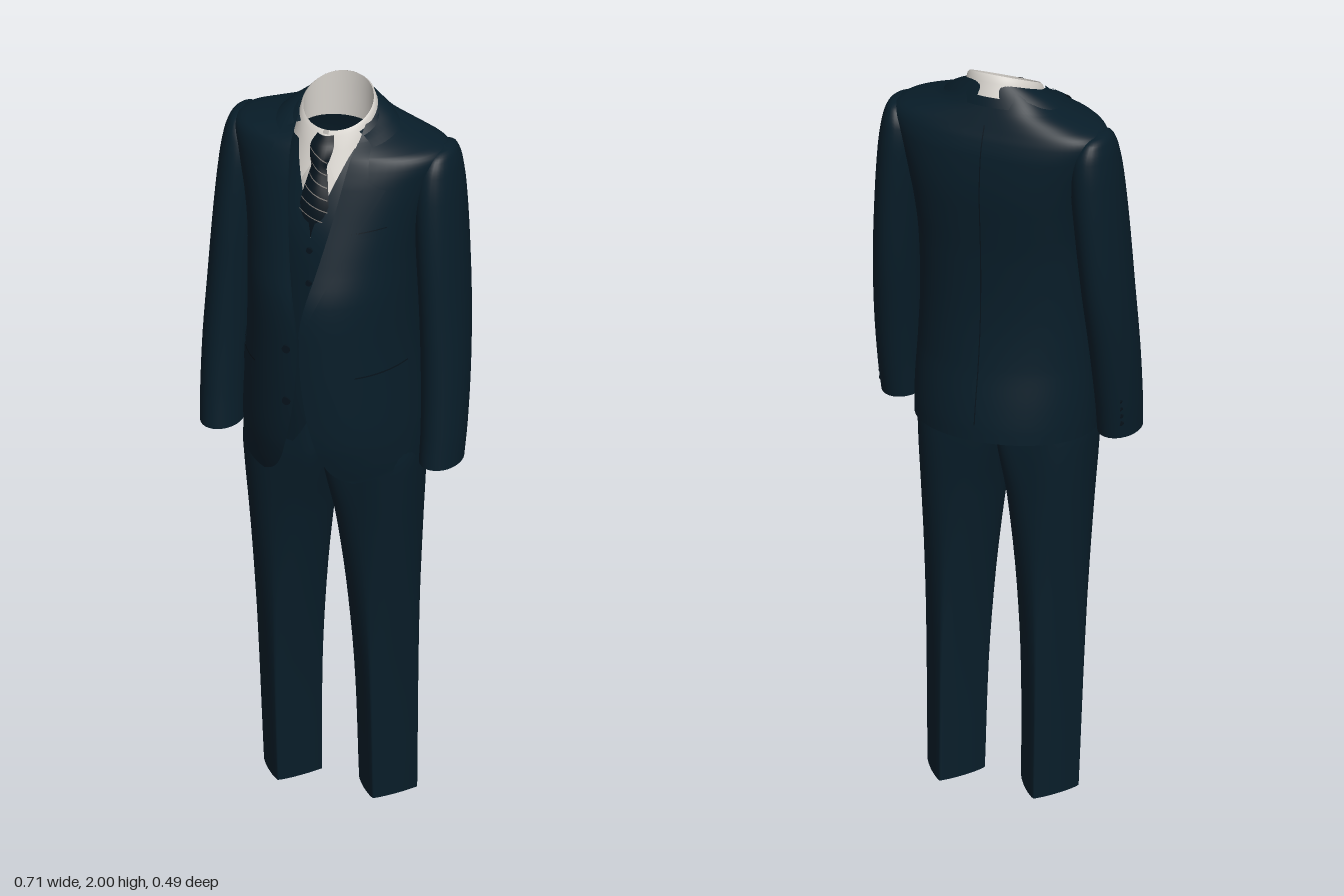
import * as THREE from 'three';

const mat = (name, color) => new THREE.MeshStandardMaterial({ name, color, side: THREE.DoubleSide });
const navy = mat('navy wool', 0x081d29);
const dark = mat('dark trim', 0x06131c);
const white = mat('shirt white', 0xd4d0ca);
const stripe = mat('tie stripe', 0x77726e);

const V = (x, y, z) => new THREE.Vector3(x, y, z);
const { lerp, clamp } = THREE.MathUtils;

// Smooth interpolation of table rows [y, a, b, ...]
function sample(table, y) {
  const n = table.length - 1;
  let i = 0;
  while (i < n - 1 && y > table[i + 1][0]) i++;
  const p = table[i], q = table[i + 1], o = table[Math.max(i - 1, 0)], r = table[Math.min(i + 2, n)];
  const h = q[0] - p[0], t = clamp((y - p[0]) / h, 0, 1);
  return p.slice(1).map((v, k) => {
    const c = k + 1;
    const m0 = (q[c] - o[c]) / (q[0] - o[0]) * h, m1 = (r[c] - p[c]) / (r[0] - p[0]) * h;
    return v + t * m0 + t * t * (3 * (q[c] - v) - 2 * m0 - m1) + t * t * t * (2 * (v - q[c]) + m0 + m1);
  });
}

// Heights of a table with extra steps between its rows
function heights(table, steps = 4) {
  const ys = [];
  table.forEach((r, i) => {
    if (i) for (let k = 1; k <= steps; k++) ys.push(lerp(table[i - 1][0], r[0], k / steps));
    else ys.push(r[0]);
  });
  return ys;
}

// Surface through rows of points
function loft(name, rows, material, closed = false) {
  const w = rows[0].length, pos = [], idx = [];
  rows.forEach(r => r.forEach(p => pos.push(p.x, p.y, p.z)));
  for (let i = 0; i < rows.length - 1; i++) {
    for (let j = 0; j < (closed ? w : w - 1); j++) {
      const a = i * w + j, b = i * w + (j + 1) % w;
      idx.push(a, b, a + w, b, b + w, a + w);
    }
  }
  const g = new THREE.BufferGeometry();
  g.setAttribute('position', new THREE.Float32BufferAttribute(pos, 3));
  g.setIndex(idx);
  g.computeVertexNormals();
  const m = new THREE.Mesh(g, material);
  m.name = name;
  return m;
}

const arc = (from, to, n, f) => Array.from({ length: n + 1 }, (_, i) => f(lerp(from, to, i / n)));
const loop = (n, f) => Array.from({ length: n }, (_, i) => f(i / n * Math.PI * 2));
const pow = (v, p) => Math.sign(v) * Math.abs(v) ** p;

// Body section: half width, front z, back z, centre z; boxier across the shoulder blades
function bodyPoint(table, y, a) {
  const [w, f, b, c] = sample(table, y), s = Math.sin(a), k = Math.cos(a);
  const q = lerp(0.97, 0.74, clamp((y - 1.2) / 0.4, 0, 1));
  // neckline tilts down towards the front
  const py = y - clamp((y - 1.87) / 0.09, 0, 1) * 0.02 * (1 + k);
  return k >= 0 ? V(w * s, py, c + (f - c) * k ** 1.06) : V(w * pow(s, q), py, c + (b - c) * Math.abs(k) ** q);
}
const angleAt = (table, y, x) => Math.asin(clamp(x / sample(table, y)[0], -1, 1));
const onFront = (table, x, y, off) => bodyPoint(table, y, angleAt(table, y, x)).add(V(0, 0, off));

const JACKET = [
  [0.98, 0.235, 0.205, -0.24, -0.03], [1.03, 0.236, 0.22, -0.237, -0.03], [1.1, 0.235, 0.235, -0.228, -0.03],
  [1.2, 0.23, 0.242, -0.212, -0.03], [1.35, 0.222, 0.244, -0.197, -0.03], [1.5, 0.222, 0.237, -0.195, -0.03],
  [1.6, 0.228, 0.205, -0.2, -0.035], [1.7, 0.246, 0.168, -0.205, -0.045], [1.8, 0.275, 0.128, -0.198, -0.06],
  [1.84, 0.286, 0.108, -0.188, -0.065], [1.865, 0.276, 0.094, -0.178, -0.065], [1.89, 0.222, 0.082, -0.168, -0.06],
  [1.92, 0.152, 0.066, -0.156, -0.05], [1.96, 0.106, 0.048, -0.14, -0.045]];
const JACKET_OPEN = [[0.98, 0.12], [1.0, 0.088], [1.04, 0.06], [1.1, 0.04], [1.2, 0.018], [1.33, 0.004], [1.43, 0.004],
  [1.5, 0.015], [1.6, 0.038], [1.75, 0.066], [1.9, 0.086], [1.96, 0.09]];
const VEST = [
  [1.06, 0.205, 0.155, -0.165, -0.03], [1.2, 0.2, 0.165, -0.165, -0.03], [1.5, 0.195, 0.166, -0.165, -0.03],
  [1.62, 0.195, 0.162, -0.17, -0.03], [1.7, 0.19, 0.148, -0.17, -0.03], [1.8, 0.16, 0.112, -0.16, -0.04],
  [1.88, 0.11, 0.075, -0.14, -0.04]];
const VEST_OPEN = [[1.06, 0.05], [1.12, 0.012], [1.16, 0], [1.66, 0], [1.7, 0.008], [1.76, 0.03], [1.88, 0.075]];
const SHIRT = [[1.6, 0.1, 0.148, -0.1, -0.03], [1.7, 0.1, 0.138, -0.1, -0.03], [1.8, 0.1, 0.1, -0.1, -0.03],
  [1.88, 0.096, 0.065, -0.1, -0.04], [1.93, 0.09, 0.043, -0.1, -0.04]];

function openGarment(name, table, opening) {
  return loft(name, heights(table).map(y => {
    const a0 = angleAt(table, y, Math.max(sample(opening, y)[0], 0));
    return arc(a0, Math.PI * 2 - a0, 64, a => {
      const p = bodyPoint(table, y, a);
      // hem rises towards the back
      if (y < 1.3) p.y += (1.3 - y) / 0.32 * 0.02 * (1 - Math.cos(a));
      return p;
    });
  }), navy);
}

// Thin patch laid on the jacket front between two x and two y values
function patch(name, x0, x1, y0, y1, off, material, slope = 0) {
  return loft(name, arc(y0, y1, 4, y => arc(x0, x1, 8, x =>
    onFront(JACKET, x, y + slope * (Math.abs(x) - Math.abs(x0)), off))), material);
}

function button(name, p, r) {
  const m = new THREE.Mesh(new THREE.CylinderGeometry(r, r, 0.006, 14), dark);
  m.rotation.x = Math.PI / 2;
  m.position.copy(p);
  m.name = name;
  return m;
}

function sleeve(s) {
  // y, centre x, half width, centre z, half depth
  const T = [[1.01, 0.296, 0.054, 0.005, 0.076], [1.1, 0.298, 0.056, -0.008, 0.08], [1.25, 0.295, 0.059, -0.028, 0.088],
    [1.42, 0.286, 0.06, -0.048, 0.1], [1.6, 0.274, 0.061, -0.06, 0.105], [1.74, 0.264, 0.06, -0.068, 0.1],
    [1.81, 0.262, 0.052, -0.072, 0.088], [1.845, 0.266, 0.038, -0.074, 0.07], [1.862, 0.27, 0.022, -0.076, 0.045],
    [1.868, 0.272, 0, -0.077, 0]];
  const g = new THREE.Group();
  g.name = s > 0 ? 'leftSleeve' : 'rightSleeve';
  g.add(loft('sleeve', heights(T).map(y => {
    const [cx, rx, cz, rz] = sample(T, y);
    return loop(32, a => V(s * cx + rx * Math.sin(a), y, cz + rz * Math.cos(a)));
  }), navy, true));
  for (let i = 0; i < 4; i++) g.add(button('cuffButton', V(s * 0.328, 1.055 + i * 0.022, -0.064 - i * 0.003), 0.007));
  return g;
}

function trouserLeg(s) {
  // y, inner x, outer x, front z, back z, outer and inner section exponent (2 is a creased diamond)
  const T = [[0, 0.05, 0.207, 0.052, -0.16, 1.7, 1.7], [0.3, 0.045, 0.214, 0.068, -0.152, 1.6, 1.6],
    [0.55, 0.033, 0.219, 0.083, -0.147, 1.3, 1.3], [0.8, 0.014, 0.226, 0.101, -0.147, 0.98, 0.9],
    [0.94, 0.002, 0.231, 0.114, -0.148, 0.85, 0.5], [1.02, 0, 0.23, 0.12, -0.145, 0.8, 0.3],
    [1.15, 0, 0.205, 0.12, -0.14, 0.8, 0.3]];
  return loft(s > 0 ? 'leftTrouserLeg' : 'rightTrouserLeg', heights(T).map(y => {
    const [i, o, f, b, pOut, pIn] = sample(T, y);
    return loop(48, a => {
      const p = Math.sin(a) * s < 0 ? pIn : pOut;
      return V(s * (i + o) / 2 + (o - i) / 2 * pow(Math.sin(a), p),
        y + (y < 0.01 ? 0.006 * (1 + Math.cos(a)) : 0), (f + b) / 2 + (f - b) / 2 * pow(Math.cos(a), p));
    });
  }), navy, true);
}

function shirtCollar() {
  const g = new THREE.Group();
  g.name = 'shirtCollar';
  const top = a => V(0.09 * Math.sin(a), 1.958 - 0.042 * Math.cos(a), -0.04 + 0.083 * Math.cos(a));
  g.add(loft('collarStand', [0.13, 0.08, 0.04, 0].map(d => loop(48, a =>
    top(a).add(V(0, -d * (0.6 - 0.4 * Math.cos(a)), 0)))), white, true));
  // folded leaf with two front points
  g.add(loft('collarLeaf', [1, 0.7, 0.35, 0.1, 0].map(t => arc(0.08, Math.PI * 2 - 0.08, 72, a => {
    const d = Math.min(a, Math.PI * 2 - a);
    const drop = d < 0.45 ? lerp(0.02, 0.14, d / 0.45) : lerp(0.14, 0.05, clamp(d - 0.45, 0, 1));
    const k = drop / 0.14 * t, e = t > 0 ? 0.004 : 0;
    return V((0.09 + e + 0.035 * k) * Math.sin(a), top(a).y - drop * t, -0.04 + (0.083 + e + 0.07 * k) * Math.cos(a));
  })), white));
  return g;
}

function necktie() {
  const g = new THREE.Group();
  g.name = 'necktie';
  // y, half width, z
  const T = [[1.64, 0.04, 0.142], [1.7, 0.041, 0.148], [1.76, 0.037, 0.137], [1.82, 0.025, 0.114],
    [1.84, 0.021, 0.108], [1.865, 0.028, 0.1], [1.89, 0.031, 0.084], [1.908, 0.022, 0.06]];
  const at = (u, y, off) => {
    const [w, z] = sample(T, y);
    return V(u * w, y, z + off - 0.012 * u * u);
  };
  g.add(loft('tieBlade', heights(T).map(y => arc(-1, 1, 8, u => at(u, y, 0))), dark));
  // diagonal stripes
  for (let i = 0; i < 6; i++) {
    const y0 = 1.715 + i * 0.03;
    g.add(loft('tieStripe', [0, 0.003].map(h => arc(-0.95, 0.95, 8, u => at(u, y0 + h - u * 0.016, 0.002))), stripe));
  }
  return g;
}

function jacketTrim(s) {
  const g = new THREE.Group();
  g.name = s > 0 ? 'leftFrontTrim' : 'rightFrontTrim';
  const OUT = [[1.42, 0.006], [1.55, 0.062], [1.7, 0.128], [1.8, 0.178], [1.825, 0.135], [1.86, 0.13], [1.92, 0.12]];
  g.add(loft('lapel', heights(OUT, 5).map(y => {
    const i = sample(JACKET_OPEN, y)[0], k = OUT.findIndex(r => r[0] >= y - 1e-6) || 1;
    const o = lerp(OUT[k - 1][1], OUT[k][1], (y - OUT[k - 1][0]) / (OUT[k][0] - OUT[k - 1][0]));
    return arc(i, Math.max(o, i + 0.002), 8, x => onFront(JACKET, s * x, y, 0.008));
  }), navy));
  g.add(patch('pocketFlap', s * 0.135, s * 0.218, 1.25, 1.3, 0.008, navy, -0.08));
  g.add(patch('pocketSeam', s * 0.135, s * 0.218, 1.3, 1.304, 0.009, dark, -0.08));
  return g;
}

export function createModel() {
  const model = new THREE.Group();
  model.name = 'threePieceSuit';
  model.add(openGarment('jacketBody', JACKET, JACKET_OPEN), openGarment('waistcoat', VEST, VEST_OPEN));
  for (const s of [1, -1]) model.add(sleeve(s), trouserLeg(s), jacketTrim(s));

  // Shirt, collar and tie
  model.add(loft('shirtFront', heights(SHIRT).map(y => arc(-1.35, 1.35, 24, a => bodyPoint(SHIRT, y, a))), white));
  model.add(shirtCollar(), necktie());

  // Jacket collar rolled around the neck
  model.add(loft('jacketCollar', [0, 0.35, 0.7, 1].map(t => arc(0.9, Math.PI * 2 - 0.9, 48, a => {
    const c = Math.cos(a), roll = Math.sin(t * Math.PI) * 0.003;
    return V((lerp(0.16, 0.1, t) + roll) * Math.sin(a), lerp(1.905, 1.94, t) - lerp(0.02, 0.042, t) * c + roll,
      -0.04 + (c > 0 ? lerp(0.14, 0.093, t) : lerp(0.119, 0.095, t)) * c);
  })), navy));

  // Breast pocket and centre back seam
  model.add(patch('breastPocket', 0.1, 0.185, 1.672, 1.69, 0.007, navy, 0.12));
  model.add(patch('breastPocketSeam', 0.1, 0.185, 1.69, 1.693, 0.008, dark, 0.12));
  model.add(loft('backSeam', arc(1.03, 1.88, 30, y => [-0.0015, 0.0015].map(x => {
    const p = bodyPoint(JACKET, y, Math.PI);
    return V(x, y + (y < 1.3 ? (1.3 - y) / 0.32 * 0.04 : 0), p.z - 0.002);
  })), dark));

  // Buttons
  for (const y of [1.38, 1.23]) model.add(button('jacketButton', onFront(JACKET, -0.032, y, 0.002), 0.011));
  for (let i = 0; i < 6; i++) {
    model.add(button('waistcoatButton', onFront(VEST, 0, 1.17 + i * 0.092, 0.003), 0.008));
  }
  return model;
}
